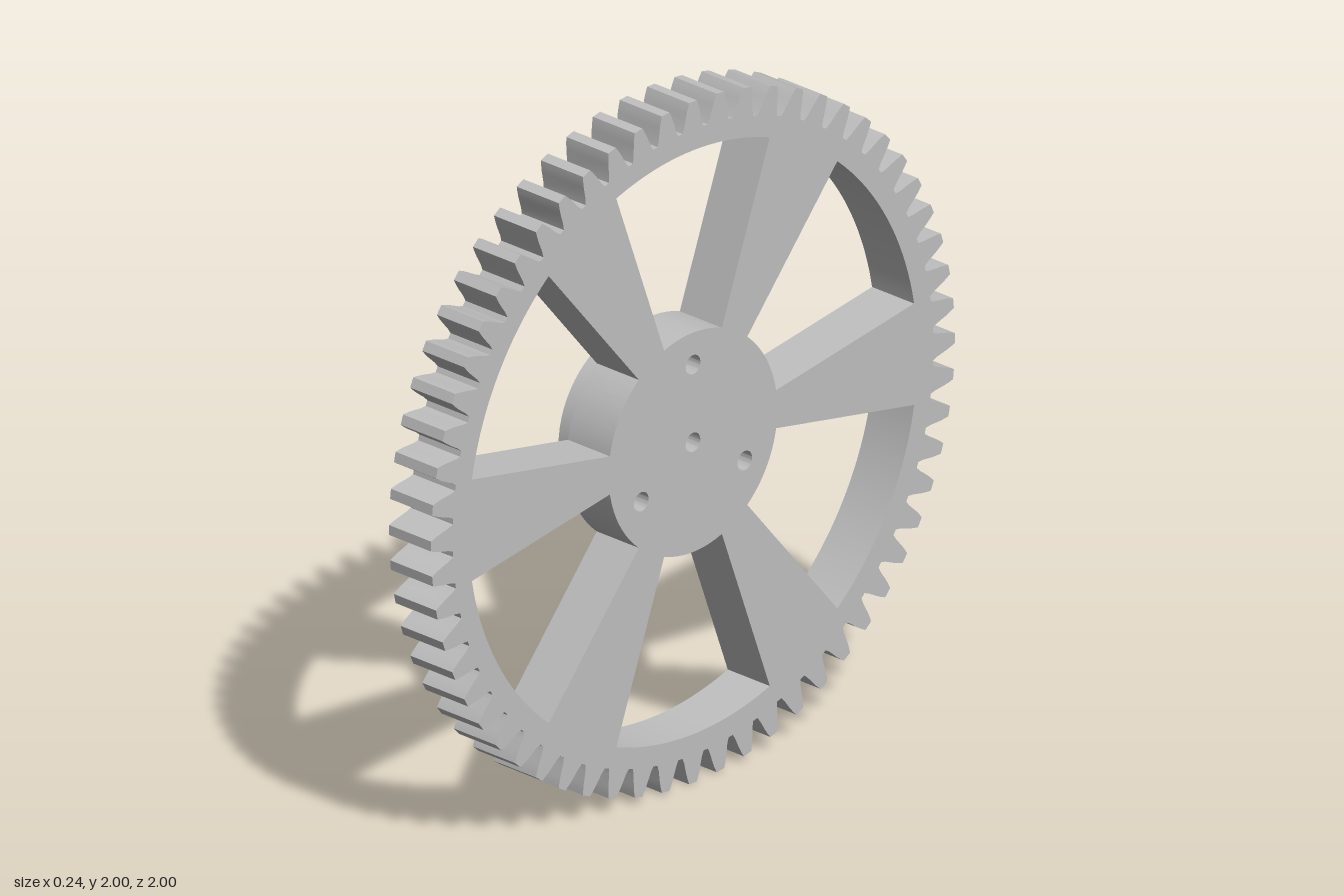
import * as THREE from 'three';
import { toCreasedNormals } from 'three/addons/utils/BufferGeometryUtils.js';

const TEETH = 60;
const SPOKES = 6;

// Path of a round hole
function circle(x, y, r) {
  return new THREE.Path().absarc(x, y, r, 0, Math.PI * 2, true);
}

// Three bolt holes around the axle
function boltHoles() {
  return [90, 210, 330].map((deg) => {
    const a = THREE.MathUtils.degToRad(deg);
    return circle(0.228 * Math.cos(a), 0.228 * Math.sin(a), 0.028);
  });
}

// Toothed outline, each tooth given as (radius, half width) from root to tip
function gearOutline() {
  const flank = [[0.918, 0.04], [0.934, 0.0335], [0.968, 0.0255], [0.986, 0.02], [1, 0.0145]];
  const points = [];
  for (let i = 0; i < TEETH; i++) {
    const mid = (i / TEETH) * Math.PI * 2;
    const add = (r, w) => points.push(new THREE.Vector2(r * Math.cos(mid + w / r), r * Math.sin(mid + w / r)));
    flank.forEach(([r, w]) => add(r, -w));
    [...flank].reverse().forEach(([r, w]) => add(r, w));
  }
  return new THREE.Shape(points);
}

// Opening between two spokes
function spokeWindow(i) {
  const mid = Math.PI / 2 + (i / SPOKES) * Math.PI * 2;
  const half = THREE.MathUtils.degToRad(20);
  const path = new THREE.Path();
  path.absarc(0, 0, 0.857, mid - half, mid + half, false);
  path.absarc(0, 0, 0.322, mid + half, mid - half, true);
  path.closePath();
  return path;
}

// Extrudes a shape along x, from x0 to x1
function plate(name, shape, holes, x0, x1, material) {
  shape.holes.push(...holes);
  const solid = new THREE.ExtrudeGeometry(shape, { depth: x1 - x0, bevelEnabled: false, curveSegments: 32 });
  solid.rotateY(Math.PI / 2);
  solid.translate(x0, 1, 0);
  const mesh = new THREE.Mesh(toCreasedNormals(solid, 0.25), material);
  mesh.name = name;
  return mesh;
}

function disc(r) {
  return new THREE.Shape().absarc(0, 0, r, 0, Math.PI * 2, false);
}

export function createModel() {
  const metal = new THREE.MeshStandardMaterial({ color: 0xc0c0c0 });
  metal.name = 'grey metal';

  const group = new THREE.Group();
  group.name = 'spurGear';

  // Gear wheel with six tapering spokes
  const windows = Array.from({ length: SPOKES }, (_, i) => spokeWindow(i));
  group.add(plate('gearWheel', gearOutline(), [...windows, circle(0, 0, 0.028), ...boltHoles()], -0.04, 0.12, metal));

  // Hub boss: recess floor, then raised ring
  group.add(plate('hubBase', disc(0.273), [circle(0, 0, 0.028), ...boltHoles()], -0.075, -0.04, metal));
  group.add(plate('hubRing', disc(0.273), [circle(0, 0, 0.165), ...boltHoles()], -0.12, -0.075, metal));

  return group;
}
